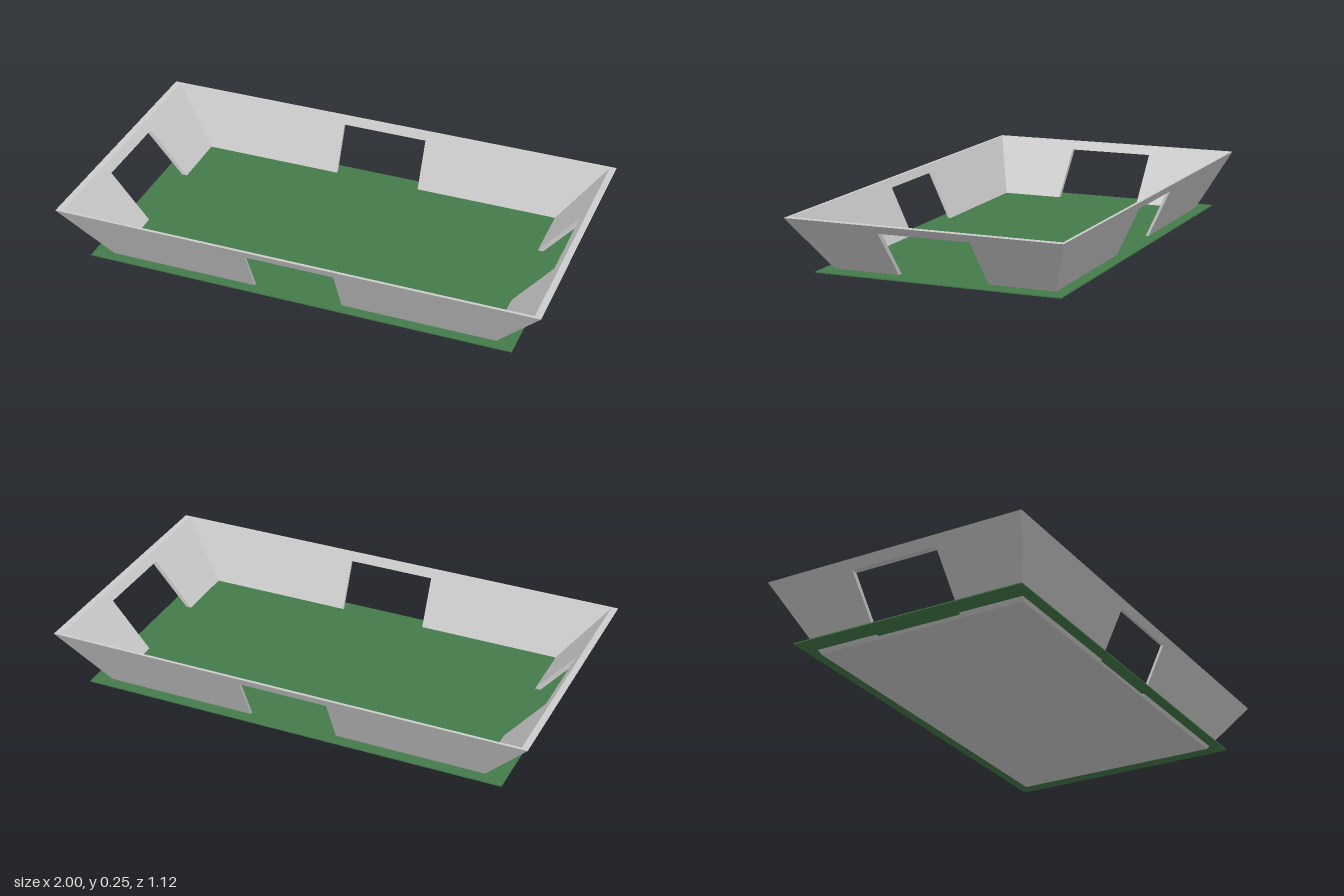
import * as THREE from 'three';

const H = 0.245;                 // wall height
const SILL = 0.01, HEAD = 0.212; // opening heights
const HALF = 0.184;              // half the opening width

// Half extents [bottom, top] of the flared shell
const OUTER = { x: [0.79, 1.0], z: [0.444, 0.558] };
const INNER = { x: [0.768, 0.973], z: [0.432, 0.5455] };
const at = ([b, t], y) => b + (t - b) * y / H;

// One sloping wall facing local +z, pierced by an opening centred on u = mid
function wallGeometry(along, out, mid) {
  const pos = [];
  const quad = (a, b, c, d) => [a, b, c, a, c, d].forEach(p => pos.push(...p));
  const point = (shell, u, y) => [u, y, at(shell[out], y)];
  const corner = (shell, s, y) => point(shell, s * at(shell[along], y), y);
  const l = mid - HALF, r = mid + HALF;

  // Outer and inner skins: two side panels, sill and lintel
  for (const [S, flip] of [[OUTER, false], [INNER, true]]) {
    const p = (u, y) => point(S, u, y);
    const face = (a, b, c, d) => flip ? quad(d, c, b, a) : quad(a, b, c, d);
    face(corner(S, -1, 0), p(l, 0), p(l, H), corner(S, -1, H));
    face(p(r, 0), corner(S, 1, 0), corner(S, 1, H), p(r, H));
    face(p(l, 0), p(r, 0), p(r, SILL), p(l, SILL));
    face(p(l, HEAD), p(r, HEAD), p(r, H), p(l, H));
  }

  // Top rim and underside
  quad(corner(OUTER, -1, H), corner(OUTER, 1, H), corner(INNER, 1, H), corner(INNER, -1, H));
  quad(corner(INNER, -1, 0), corner(INNER, 1, 0), corner(OUTER, 1, 0), corner(OUTER, -1, 0));

  // Reveals around the opening: sill, right jamb, head, left jamb
  const loop = [[l, SILL], [r, SILL], [r, HEAD], [l, HEAD]];
  loop.forEach((a, i) => {
    const b = loop[(i + 1) % 4];
    quad(point(OUTER, ...a), point(OUTER, ...b), point(INNER, ...b), point(INNER, ...a));
  });

  const g = new THREE.BufferGeometry();
  g.setAttribute('position', new THREE.Float32BufferAttribute(pos, 3));
  g.computeVertexNormals();
  return g;
}

export function createModel() {
  const group = new THREE.Group();
  const grey = new THREE.MeshStandardMaterial({ name: 'wallGrey', color: 0xcccccc });
  const green = new THREE.MeshStandardMaterial({ name: 'fieldGreen', color: 0x447a4a });

  const add = (name, geometry, material) => {
    const mesh = new THREE.Mesh(geometry, material);
    mesh.name = name;
    group.add(mesh);
    return mesh;
  };

  // Four walls, each turned a quarter from the last
  const walls = [
    ['frontWall', 'x', 'z', -0.005], ['leftWall', 'z', 'x', 0.002],
    ['backWall', 'x', 'z', 0.005], ['rightWall', 'z', 'x', -0.002],
  ];
  walls.forEach(([name, along, out, mid], i) => {
    add(name, wallGeometry(along, out, mid), grey).rotation.y = i * Math.PI / 2;
  });

  // Base slab between the walls
  add('floor', new THREE.BoxGeometry(2 * INNER.x[0], SILL, 2 * INNER.z[0]), grey)
    .position.y = SILL / 2;

  // Thin field sheet reaching out past the walls
  add('field', new THREE.BoxGeometry(1.772, 0.004, 1.0), green)
    .position.set(-0.004, 0.018, -0.003);

  return group;
}
